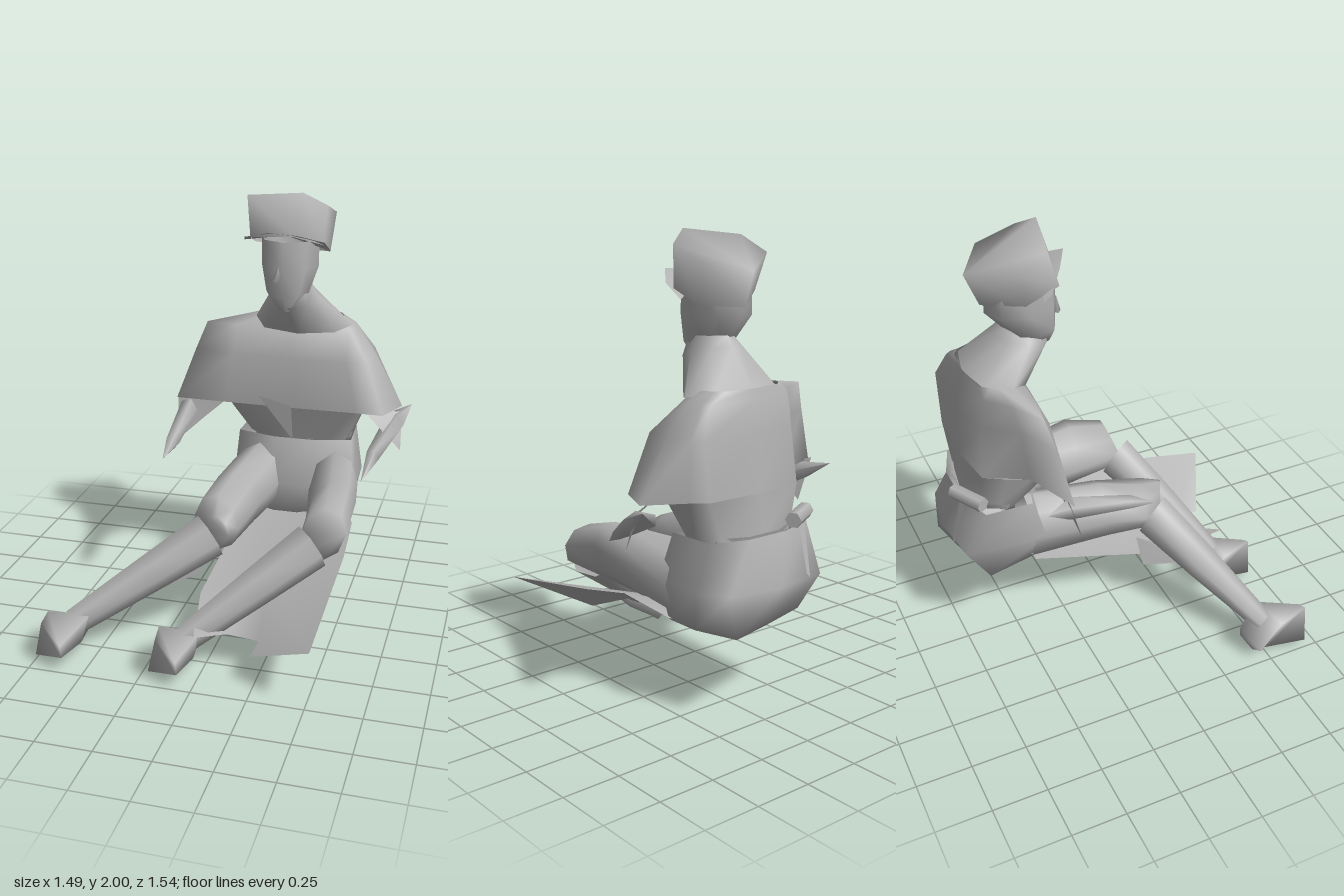
import * as THREE from 'three';

const grey = new THREE.MeshStandardMaterial({ color: 0xb4b4b4, side: THREE.DoubleSide });
grey.name = 'plain grey';

// Ring of n points around centre c, spanned by half-axes u and v
function ring(c, u, v, n = 8) {
  return Array.from({ length: n }, (_, i) => {
    const a = (i / n) * Math.PI * 2;
    return c.map((k, j) => k + u[j] * Math.cos(a) + v[j] * Math.sin(a));
  });
}
const flatRing = (x, y, z, rx, rz, n, tilt = 0) => ring([x, y, z], [rx, 0, 0], [0, tilt, rz], n);
const spike = (x, y, z, n) => Array.from({ length: n }, () => [x, y, z]);
// Outline in plan at height y
const level = (y, outline) => outline.map(([x, z]) => [x, y, z]);

export function createModel() {
  const model = new THREE.Group();

  function surface(name, points, faces) {
    const g = new THREE.BufferGeometry();
    g.setAttribute('position', new THREE.Float32BufferAttribute(points.flat(), 3));
    g.setIndex(faces.flat());
    g.computeVertexNormals();
    const mesh = new THREE.Mesh(g, grey);
    mesh.name = name;
    model.add(mesh);
  }

  // Skin over a run of rings, with optional end caps
  function loft(name, rings, capStart = false, capEnd = false) {
    const n = rings[0].length, faces = [], points = rings.flat();
    for (let r = 0; r < rings.length - 1; r++) {
      for (let i = 0; i < n; i++) {
        const a = r * n + i, b = r * n + (i + 1) % n;
        faces.push([a, b, b + n], [a, b + n, a + n]);
      }
    }
    const last = (rings.length - 1) * n;
    for (let i = 1; i < n - 1; i++) {
      if (capStart) faces.push([0, i + 1, i]);
      if (capEnd) faces.push([last, last + i, last + i + 1]);
    }
    surface(name, points, faces);
  }

  // Thin sheet fanned from its first point
  function sheet(name, points) {
    surface(name, points, points.slice(2).map((_, i) => [0, i + 1, i + 2]));
  }

  // Jacket: shoulders and open sleeves in one skin, body below the arms
  loft('shouldersAndSleeves', [
    level(0.95, [[-0.39, -0.34], [-0.14, -0.335], [0.2, -0.33], [0.5, -0.335], [0.63, -0.33], [0.7, -0.5], [0.53, -0.6], [0.47, -0.65], [0.2, -0.66], [-0.03, -0.63], [-0.13, -0.44]]),
    level(1.2, [[-0.3, -0.38], [-0.1, -0.33], [0.2, -0.31], [0.45, -0.32], [0.54, -0.36], [0.56, -0.5], [0.54, -0.62], [0.5, -0.65], [0.2, -0.65], [-0.01, -0.61], [-0.12, -0.47]]),
    level(1.33, [[-0.25, -0.41], [-0.1, -0.39], [0.18, -0.38], [0.38, -0.4], [0.44, -0.45], [0.46, -0.5], [0.45, -0.58], [0.43, -0.61], [0.2, -0.62], [0, -0.59], [-0.1, -0.5]]),
    level(1.375, [[0, -0.52], [0.05, -0.47], [0.18, -0.46], [0.3, -0.47], [0.36, -0.49], [0.4, -0.52], [0.38, -0.57], [0.34, -0.6], [0.2, -0.61], [0.05, -0.59], [0.01, -0.55]]),
  ]);
  loft('jacketBody', [
    level(0.76, [[-0.05, -0.5], [0.05, -0.4], [0.2, -0.38], [0.35, -0.4], [0.43, -0.46], [0.45, -0.54], [0.39, -0.64], [0.2, -0.67], [0.02, -0.64], [-0.03, -0.57]]),
    level(0.95, [[-0.13, -0.44], [-0.11, -0.335], [0.2, -0.33], [0.48, -0.335], [0.52, -0.42], [0.53, -0.6], [0.47, -0.65], [0.2, -0.66], [-0.03, -0.63], [-0.09, -0.53]]),
  ]);
  sheet('lapelFlap', [[0.04, 1.02, -0.27], [0.19, 0.96, -0.32], [0.19, 0.77, -0.37]]);
  loft('belt', [
    flatRing(0.2, 0.755, -0.53, 0.25, 0.15, 10),
    flatRing(0.2, 0.785, -0.53, 0.26, 0.16, 10),
  ]);

  // Forearms tapering to pointed hands
  loft('rightForearm', [
    spike(-0.4, 0.95, -0.47, 5),
    ring([-0.33, 0.9, -0.34], [0.05, 0, 0.02], [0, 0.05, 0], 5),
    ring([-0.32, 0.83, -0.04], [0.035, 0, 0], [0, 0.03, 0], 5),
    spike(-0.33, 0.79, 0.08, 5),
  ]);
  loft('leftForearm', [
    spike(0.74, 0.94, -0.57, 5),
    ring([0.67, 0.88, -0.47], [0.05, 0, 0.05], [0, 0.04, 0], 5),
    ring([0.6, 0.77, -0.25], [0.035, 0, 0.02], [0, 0.035, 0], 5),
    spike(0.57, 0.69, -0.11, 5),
  ]);
  sheet('rightCuff', [[-0.39, 0.96, -0.36], [-0.15, 0.95, -0.34], [-0.24, 0.87, -0.33], [-0.37, 0.75, -0.3]]);
  sheet('leftCuff', [[0.7, 0.92, -0.5], [0.52, 0.95, -0.4], [0.62, 0.87, -0.36], [0.71, 0.75, -0.42]]);

  // Collar, head and nose
  loft('collar', [
    flatRing(0.19, 1.57, -0.33, 0.08, 0.1, 8),
    flatRing(0.19, 1.5, -0.34, 0.12, 0.13, 8, -0.03),
    flatRing(0.21, 1.345, -0.475, 0.24, 0.135, 8, -0.025),
  ]);
  loft('head', [
    flatRing(0.17, 1.455, -0.24, 0.03, 0.03, 8),
    flatRing(0.17, 1.53, -0.29, 0.1, 0.11, 8),
    flatRing(0.17, 1.65, -0.34, 0.135, 0.165, 8),
    flatRing(0.17, 1.78, -0.34, 0.135, 0.16, 8),
  ], true);
  loft('nose', [
    spike(0.15, 1.67, -0.18, 4),
    ring([0.14, 1.6, -0.185], [0.025, 0, 0], [0, 0, 0.02], 4),
  ], false, true);

  // Tilted cap, wider at the crown, with visor
  loft('cap', [
    [[0.17, 1.69, -0.52], [0.34, 1.7, -0.43], [0.34, 1.76, -0.27], [0.22, 1.81, -0.17], [0.01, 1.79, -0.22], [-0.01, 1.74, -0.38]],
    [[0.18, 1.84, -0.58], [0.36, 1.88, -0.46], [0.35, 1.94, -0.28], [0.25, 2.0, -0.22], [-0.02, 1.97, -0.28], [-0.04, 1.9, -0.42]],
  ], false, true);
  sheet('visor', [
    [0.17, 1.8, -0.25], [-0.04, 1.76, -0.31], [-0.03, 1.78, -0.27],
    [0.1, 1.82, -0.18], [0.25, 1.83, -0.1], [0.35, 1.78, -0.23], [0.36, 1.72, -0.34],
  ]);

  // Boxy hips with a slanted back wall, narrowing underneath
  loft('hips', [
    level(0.39, [[0, -0.4], [0.1, -0.36], [0.3, -0.36], [0.46, -0.38], [0.46, -0.55], [0.4, -0.74], [0.18, -0.69], [-0.05, -0.63]]),
    level(0.57, [[-0.1, -0.36], [0.08, -0.28], [0.32, -0.28], [0.5, -0.36], [0.5, -0.6], [0.43, -0.73], [0.18, -0.77], [-0.07, -0.74]]),
    level(0.78, [[-0.09, -0.42], [0.1, -0.37], [0.3, -0.37], [0.47, -0.42], [0.46, -0.64], [0.3, -0.7], [0.1, -0.7], [-0.08, -0.64]]),
  ], true);
  loft('rightThigh', [
    ring([0.03, 0.57, -0.42], [0.13, 0, 0], [0, 0.17, 0]),
    ring([-0.01, 0.57, -0.05], [0.125, 0, 0], [0, 0.145, 0]),
    ring([-0.04, 0.55, 0.18], [0.12, 0, 0.05], [0, 0.115, -0.03]),
    ring([-0.01, 0.54, 0.27], [0.06, 0, 0.03], [0, 0.08, 0]),
  ], false, true);
  loft('leftThigh', [
    ring([0.39, 0.56, -0.42], [0.12, 0, 0], [0, 0.17, 0]),
    ring([0.455, 0.59, 0], [0.115, 0.05, 0], [0, 0.14, 0]),
    ring([0.465, 0.57, 0.23], [0.105, 0.02, 0], [0, 0.11, -0.04]),
  ], false, true);

  // Shins, leaning towards the right
  const shin = (name, knee, ankle) => loft(name, [
    ring(knee, [0.07, 0, 0.09], [-0.04, 0.09, 0.02], 7),
    ring(knee.map((k, i) => k * 0.55 + ankle[i] * 0.45), [0.055, 0, 0.075], [-0.04, 0.07, 0.02], 7),
    ring(ankle, [0.035, 0, 0.045], [-0.03, 0.05, 0.01], 7),
  ]);
  shin('rightShin', [-0.07, 0.49, 0.2], [-0.62, 0.13, 0.52]);
  shin('leftShin', [0.41, 0.51, 0.23], [-0.08, 0.14, 0.54]);

  // Shoes, heel low at the back and toe raised
  const shoe = (name, x) => loft(name, [
    [[x - 0.09, 0.08, 0.44], [x + 0.03, 0.14, 0.39], [x + 0.07, 0.05, 0.42], [x, 0.005, 0.45]],
    [[x - 0.07, 0.19, 0.56], [x + 0.12, 0.18, 0.53], [x + 0.09, 0.06, 0.57], [x - 0.02, 0.01, 0.52]],
    [[x - 0.04, 0.21, 0.7], [x + 0.06, 0.13, 0.74], [x + 0.07, 0.08, 0.75], [x - 0.08, 0.04, 0.69]],
  ], true, true);
  shoe('rightShoe', -0.66);
  shoe('leftShoe', -0.13);

  // Coat skirt spread under the legs
  surface('coatSkirt', [
    [-0.04, 0.4, -0.4], [0.2, 0.39, -0.4], [0.47, 0.4, -0.4], [0.53, 0.46, -0.16],
    [-0.09, 0.23, 0.28], [0.2, 0.31, 0.1], [0.54, 0.41, 0.1],
    [-0.02, 0.2, 0.63], [0.1, 0.17, 0.51], [0.24, 0.15, 0.5], [0.23, 0.14, 0.62], [0.52, 0.29, 0.77],
  ], [
    [0, 4, 5], [0, 5, 1], [1, 5, 3], [1, 3, 2], [3, 5, 6],
    [4, 7, 8], [4, 8, 5], [5, 8, 9], [5, 9, 11], [5, 11, 6], [9, 10, 11],
  ]);
  sheet('skirtScrap', [[-0.1, 0.4, 0.1], [-0.14, 0.37, 0.18], [-0.22, 0.26, 0.3], [-0.14, 0.25, 0.12]]);

  // Pouch on the back of the belt with a hanging strap
  const pouch = new THREE.Mesh(new THREE.CylinderGeometry(0.035, 0.035, 0.18, 6), grey);
  pouch.name = 'beltPouch';
  pouch.position.set(0.01, 0.83, -0.69);
  pouch.rotation.set(0, 0.5, Math.PI / 2, 'YXZ');
  model.add(pouch);
  sheet('strap', [[0.0, 0.8, -0.71], [0.04, 0.8, -0.72], [0.04, 0.6, -0.77], [0.02, 0.58, -0.77]]);

  return model;
}
